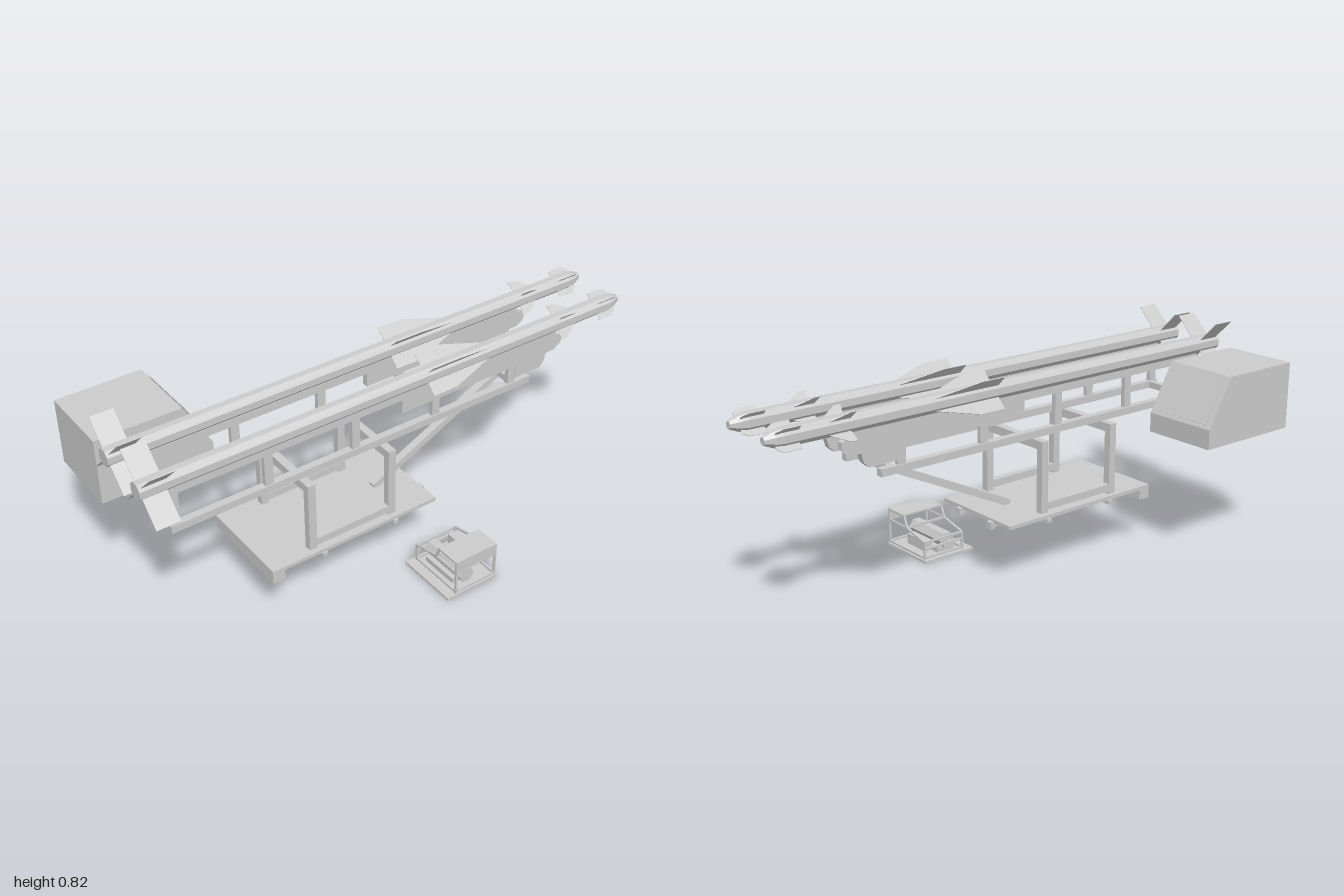
import * as THREE from 'three';

const mat = new THREE.MeshStandardMaterial({ color: 0xcccccc, flatShading: true, side: THREE.DoubleSide });

function add(parent, geo, name) {
  const m = new THREE.Mesh(geo, mat);
  m.name = name;
  parent.add(m);
  return m;
}

// Box given by its min/max on each axis
function box(parent, name, x0, x1, y0, y1, z0, z1) {
  const g = new THREE.BoxGeometry(x1 - x0, y1 - y0, z1 - z0);
  g.translate((x0 + x1) / 2, (y0 + y1) / 2, (z0 + z1) / 2);
  return add(parent, g, name);
}

// Square bar between two points
function bar(parent, name, a, b, w, h = w) {
  const p = new THREE.Vector3(...a), q = new THREE.Vector3(...b);
  const m = add(parent, new THREE.BoxGeometry(w, h, p.distanceTo(q)), name);
  m.position.copy(p).add(q).multiplyScalar(0.5);
  m.lookAt(q);
  return m;
}

// Side profile of [z, y] points, extruded along x and centred on x = 0
function profile(points, width) {
  const s = new THREE.Shape(points.map(([z, y]) => new THREE.Vector2(z, y)));
  const g = new THREE.ExtrudeGeometry(s, { depth: width, bevelEnabled: false });
  return g.translate(0, 0, -width / 2).rotateY(-Math.PI / 2);
}

function missile() {
  const g = new THREE.Group();
  g.name = 'missile';
  const R = 0.033;
  // Octagonal body with a blunt nose towards -z
  const outline = [[0, -1], [R, -1], [R, 0.94], [0.029, 0.965], [0.014, 1], [0, 1]];
  const body = new THREE.LatheGeometry(outline.map(([r, y]) => new THREE.Vector2(r, y)), 8, Math.PI / 8);
  add(g, body.rotateX(-Math.PI / 2), 'missileBody');
  // Four sets of diagonal fins, as [z, radius]
  const fins = {
    tailFin: [[0.99, 0.02], [0.99, 0.136], [0.905, 0.136], [0.905, 0.02]],
    wing: [[-0.1, 0.02], [-0.1, 0.08], [-0.2, 0.08], [-0.37, 0.03], [-0.37, 0.02]],
    foreFin: [[-0.7, 0.02], [-0.69, 0.068], [-0.715, 0.068], [-0.775, 0.033], [-0.775, 0.02]],
    noseFin: [[-0.885, 0.02], [-0.885, 0.053], [-0.945, 0.053], [-0.968, 0.04], [-0.968, 0.02]],
  };
  for (const [name, pts] of Object.entries(fins))
    for (let i = 0; i < 4; i++)
      add(g, profile(pts, 0.002).rotateZ(Math.PI / 4 + i * Math.PI / 2), name);
  return g;
}

function launchRail() {
  const g = new THREE.Group();
  g.name = 'launchRail';
  box(g, 'upperBeam', -0.013, 0.013, 0.66, 0.69, 0, 0.9);
  box(g, 'lowerBeam', -0.014, 0.014, 0.513, 0.54, -0.58, 0.9);
  for (const z of [0.88, 0.535, 0.19, -0.15, -0.495])
    box(g, 'railPost', -0.009, 0.009, 0.535, 0.665, z - 0.016, z + 0.016);
  // Stepped panel carrying the front of the missile
  add(g, profile([[0, 0.695], [0, 0.606], [-0.51, 0.606], [-0.51, 0.557], [-0.625, 0.557],
    [-0.645, 0.575], [-0.655, 0.61], [-0.69, 0.61], [-0.725, 0.632], [-0.725, 0.66],
    [-0.69, 0.675], [-0.68, 0.695]], 0.024), 'railPanel');
  return g;
}

function launcher() {
  const g = new THREE.Group();
  g.name = 'launcher';
  for (const s of [-1, 1]) {
    const m = missile();
    m.position.set(s * 0.106, 0.72, 0);
    const r = launchRail();
    r.position.x = s * 0.103;
    g.add(m, r);
  }
  for (const z of [0.87, -0.525])
    box(g, 'crossBar', -0.103, 0.103, 0.513, 0.538, z - 0.013, z + 0.013);
  // Support frame
  for (const z of [0.41, 0.08]) {
    box(g, 'topBar', -0.168, 0.168, 0.48, 0.512, z - 0.015, z + 0.015);
    for (const s of [-1, 1])
      box(g, 'frameLeg', s * 0.154 - 0.014, s * 0.154 + 0.014, 0.235, 0.49, z - 0.015, z + 0.015);
  }
  for (const s of [-1, 1])
    box(g, 'bottomBar', s * 0.154 - 0.014, s * 0.154 + 0.014, 0.252, 0.28, 0.08, 0.41);
  bar(g, 'diagonalStrut', [0, 0.245, 0.045], [0, 0.515, -0.515], 0.03, 0.026);
  // Platform with a heavy end beam and runners beneath
  box(g, 'platform', -0.188, 0.188, 0.228, 0.242, -0.1, 0.585);
  box(g, 'endBeam', -0.188, 0.188, 0.19, 0.242, 0.54, 0.587);
  for (const s of [-1, 1]) {
    box(g, 'runner', s * 0.09 - 0.01, s * 0.09 + 0.01, 0.214, 0.23, -0.1, 0.545);
    box(g, 'runnerEnd', s * 0.09 - 0.012, s * 0.09 + 0.012, 0.208, 0.234, -0.115, -0.095);
  }
  for (const z of [0.08, 0.38])
    box(g, 'underBar', -0.195, 0.195, 0.214, 0.229, z - 0.01, z + 0.01);
  g.position.x = 0.03;
  return g;
}

function cabin() {
  const g = new THREE.Group();
  g.name = 'cabin';
  add(g, profile([[0.985, 0.463], [0.985, 0.715], [0.662, 0.715], [0.56, 0.536], [0.56, 0.463]], 0.29), 'cabinShell');
  // Raised panel on the sloping face
  add(g, profile([[0.651, 0.702], [0.648, 0.704], [0.561, 0.551], [0.565, 0.549]], 0.245), 'slopingPanel');
  g.position.x = -0.325;
  return g;
}

function generator() {
  const g = new THREE.Group();
  g.name = 'generator';
  box(g, 'tray', 0.22, 0.468, 0, 0.01, -0.19, 0.033);
  const w = 0.008;
  const sides = [-0.008, -0.182];
  // Tubular cage, one side at a time
  for (const z of sides) {
    const path = [[0.235, 0.01], [0.235, 0.078], [0.346, 0.104], [0.363, 0.147], [0.459, 0.147], [0.459, 0.01]];
    for (let i = 0; i < path.length - 1; i++)
      bar(g, 'cageBar', [...path[i], z], [...path[i + 1], z], w);
    bar(g, 'cageRail', [0.346, 0.104, z], [0.459, 0.104, z], 0.006);
    bar(g, 'cageSill', [0.235, 0.017, z], [0.459, 0.017, z], w);
  }
  for (const [x, y] of [[0.235, 0.078], [0.235, 0.052], [0.235, 0.017], [0.346, 0.104], [0.459, 0.017]])
    bar(g, 'cageCrossBar', [x, y, sides[0]], [x, y, sides[1]], w);
  // Roof and end panels
  box(g, 'roof', 0.361, 0.463, 0.146, 0.151, -0.186, -0.004);
  box(g, 'endPanel', 0.458, 0.463, 0.102, 0.151, -0.186, -0.004);
  // Engine and its side unit
  const drum = new THREE.CylinderGeometry(0.031, 0.031, 0.2, 6).rotateZ(Math.PI / 2);
  add(g, drum, 'engine').position.set(0.348, 0.056, -0.066);
  box(g, 'engineBed', 0.26, 0.412, 0.01, 0.03, -0.105, -0.03);
  box(g, 'sideUnit', 0.25, 0.36, 0.035, 0.075, -0.17, -0.138);
  bar(g, 'exhaustPipe', [0.235, 0.052, -0.066], [0.255, 0.052, -0.066], 0.012);
  return g;
}

export function createModel() {
  const model = new THREE.Group();
  model.name = 'missileLauncherSet';
  model.add(launcher(), cabin(), generator());
  return model;
}
